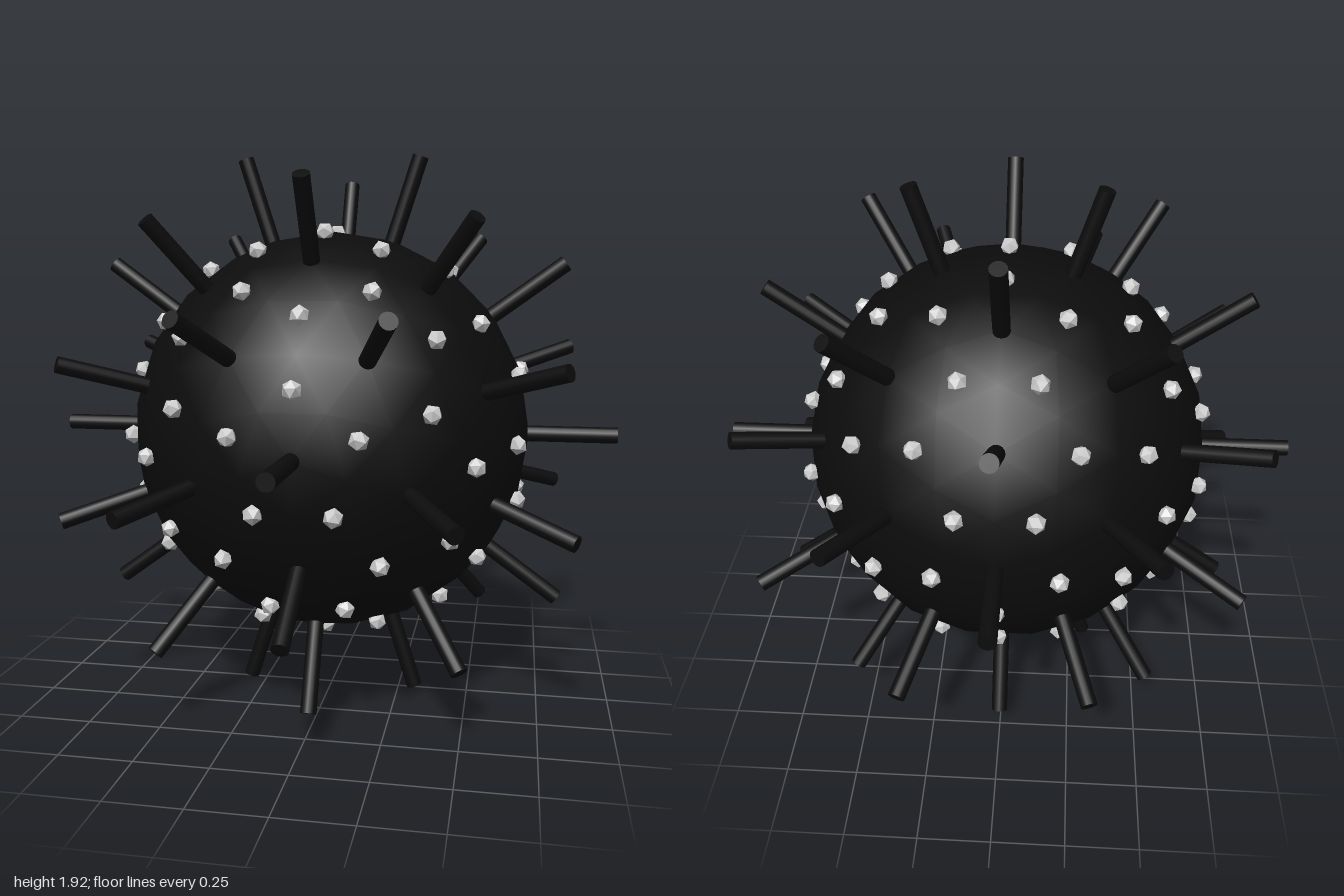
import * as THREE from 'three';

const CENTER_Y = 0.96, BODY_R = 0.7, SPIKE_TIP = 1, SPIKE_R = 0.028;
const TILT = Math.atan(2 / (1 + Math.sqrt(5))); // brings one icosahedron corner onto +z

const icoSphere = (radius, detail) => new THREE.IcosahedronGeometry(radius, detail).rotateX(TILT);

// Corner directions (without repeats) and face-centre directions of a once-divided icosahedron
function directions() {
  const pos = icoSphere(1, 1).attributes.position;
  const corners = [], faces = [];
  for (let i = 0; i < pos.count; i += 3) {
    const tri = [0, 1, 2].map(k => new THREE.Vector3().fromBufferAttribute(pos, i + k));
    for (const v of tri) {
      if (!corners.some(c => c.distanceTo(v) < 0.01)) corners.push(v);
    }
    faces.push(new THREE.Vector3().add(tri[0]).add(tri[1]).add(tri[2]).normalize());
  }
  return { corners, faces };
}

// One copy of a +y pointing part for every direction
function scatter(name, geometry, material, dirs) {
  const group = new THREE.Group();
  group.name = name + 's';
  const up = new THREE.Vector3(0, 1, 0);
  for (const dir of dirs) {
    const mesh = new THREE.Mesh(geometry, material);
    mesh.name = name;
    mesh.quaternion.setFromUnitVectors(up, dir);
    group.add(mesh);
  }
  return group;
}

export function createModel() {
  const model = new THREE.Group();
  model.name = 'spikedBall';
  const black = new THREE.MeshStandardMaterial({ color: 0x0c0c0c });
  const grey = new THREE.MeshStandardMaterial({ color: 0xcccccc, flatShading: true });
  const { corners, faces } = directions();

  // Round body
  const body = new THREE.Mesh(icoSphere(BODY_R, 3), black);
  body.name = 'body';

  // Rods standing on the corners, rooted just inside the body
  const root = BODY_R - 0.05;
  const rod = new THREE.CylinderGeometry(SPIKE_R, SPIKE_R, SPIKE_TIP - root, 16)
    .translate(0, (SPIKE_TIP + root) / 2, 0);

  // Small faceted studs on the face centres
  const stud = new THREE.IcosahedronGeometry(0.033, 0).translate(0, BODY_R + 0.005, 0);

  model.add(body, scatter('spike', rod, black, corners), scatter('stud', stud, grey, faces));
  model.children.forEach(part => { part.position.y = CENTER_Y; });
  return model;
}
